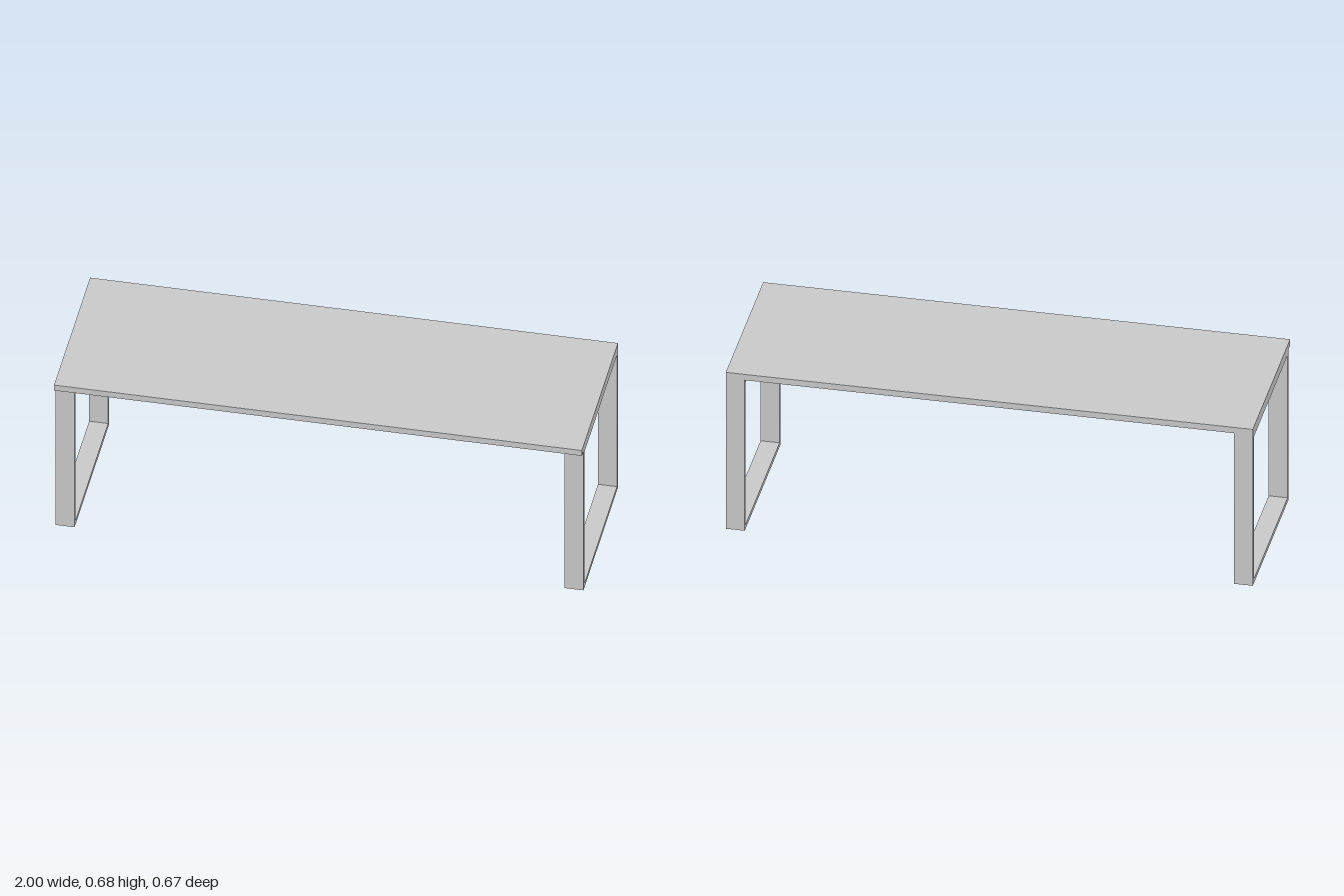
import * as THREE from 'three';

const TOP_Y = 0.65, HEIGHT = 0.675, DEPTH = 0.67;
const LEG_WIDTH = 0.072, BAR = 0.0175;
const LEG_BACK = -0.335, LEG_FRONT = 0.306;

// Rectangle outline in the side plane (a = -z, b = y)
function rectangle(target, a0, b0, a1, b1) {
  target.moveTo(a0, b0);
  target.lineTo(a1, b0);
  target.lineTo(a1, b1);
  target.lineTo(a0, b1);
  target.closePath();
  return target;
}

export function createModel() {
  const group = new THREE.Group();
  group.name = 'table';
  const material = new THREE.MeshStandardMaterial({ color: 0xcccccc });

  // Flat slab top, overhanging the legs at the front
  const top = new THREE.Mesh(new THREE.BoxGeometry(2, HEIGHT - TOP_Y, DEPTH), material);
  top.name = 'tableTop';
  top.position.y = (HEIGHT + TOP_Y) / 2;
  group.add(top);

  // Closed rectangular leg frame of flat bar, extruded along x
  const outline = rectangle(new THREE.Shape(), -LEG_FRONT, 0, -LEG_BACK, TOP_Y);
  outline.holes.push(
    rectangle(new THREE.Path(), -LEG_FRONT + BAR, BAR, -LEG_BACK - BAR, TOP_Y - BAR)
  );
  const frame = new THREE.ExtrudeGeometry(outline, { depth: LEG_WIDTH, bevelEnabled: false });
  frame.rotateY(Math.PI / 2);

  // One frame flush with each end of the top
  for (const [name, x] of [['leftLegFrame', 1 - LEG_WIDTH], ['rightLegFrame', -1]]) {
    const leg = new THREE.Mesh(frame, material);
    leg.name = name;
    leg.position.x = x;
    group.add(leg);
  }
  return group;
}
